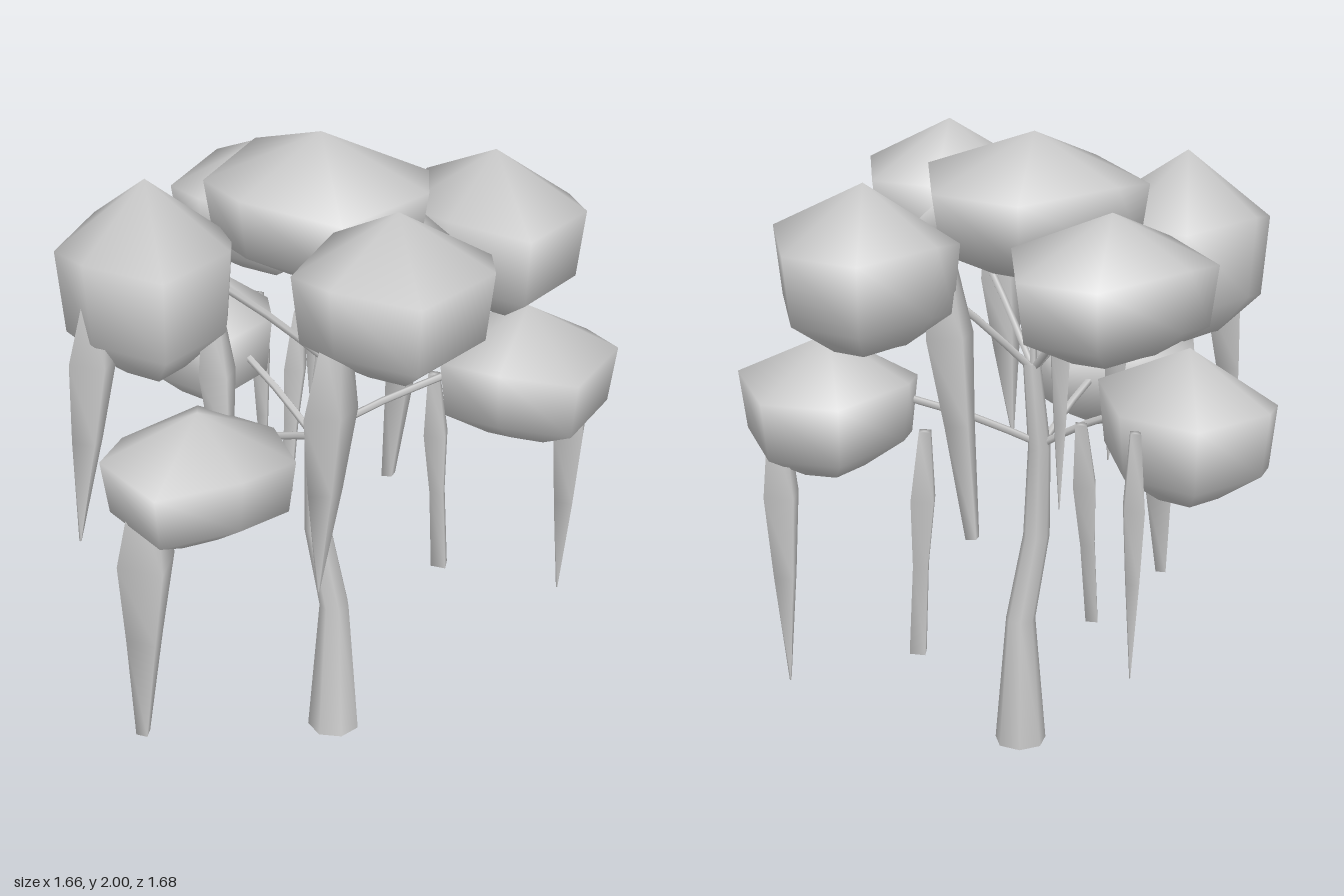
import * as THREE from 'three';

const material = new THREE.MeshStandardMaterial({ color: 0xcccccc, side: THREE.DoubleSide });

// Skin a stack of rings from top to bottom; a ring of one point closes to a tip.
function loft(rings) {
  const sides = Math.max(...rings.map(r => r.length));
  const start = [];
  let count = 0;
  for (const r of rings) { start.push(count); count += r.length; }
  const at = (k, i) => start[k] + (i % rings[k].length);
  const index = [];
  for (let k = 0; k < rings.length - 1; k++) {
    for (let i = 0; i < sides; i++) {
      const a = at(k, i), b = at(k, i + 1), c = at(k + 1, i + 1), d = at(k + 1, i);
      if (a !== b) index.push(a, b, d);
      if (c !== d) index.push(b, c, d);
    }
  }
  const g = new THREE.BufferGeometry();
  g.setAttribute('position', new THREE.Float32BufferAttribute(rings.flat(2), 3));
  g.setIndex(index);
  g.computeVertexNormals();
  return g;
}

// Elliptical ring whose corners alternate a little up and down
function ellipse(x, y, z, rx, rz, sides, phase = 0, wobble = 0) {
  return Array.from({ length: sides }, (_, i) => {
    const a = phase + (i / sides) * Math.PI * 2;
    return [x + Math.cos(a) * rx, y + (i % 2 ? wobble : -wobble), z + Math.sin(a) * rz];
  });
}

// Foliage clump: pointed dome, wide shoulder, slightly narrower lower ring, shallow bottom
function clumpGeometry(x, z, rx, rz, top, bottom, phase) {
  const ring = (level, scale, wobble) => ellipse(
    x, bottom + (top - bottom) * level, z, rx * scale, rz * scale, 7, phase, wobble);
  return loft([
    [[x, top, z]],
    ring(0.67, 1.02, 0.02),
    ring(0.25, 0.94, 0.02),
    ring(0.04, 0.42, 0.01),
    [[x, bottom, z]],
  ]);
}

// Hanging strand: four-sided spindle from the first point down to the second
function strandGeometry(x0, y0, z0, x1, y1, z1, rx, rz, tip) {
  const station = (t, scale) => ellipse(
    THREE.MathUtils.lerp(x0, x1, t), THREE.MathUtils.lerp(y0, y1, t),
    THREE.MathUtils.lerp(z0, z1, t), rx * scale, rz * scale, 4);
  return loft([
    [[x0, y0, z0]],
    station(0, 0.5), station(0.3, 1), station(0.6, 0.65), station(1, tip),
    [[x1, y1, z1]],
  ]);
}

// name: x, z, radius x, radius z, top, bottom, turn
const clumps = {
  crownClump: [-0.02, 0.02, 0.33, 0.35, 2.0, 1.58, 0.15],
  frontClump: [-0.115, 0.59, 0.285, 0.25, 1.96, 1.5, 0.05],
  rightClump: [-0.52, -0.1, 0.26, 0.26, 1.91, 1.32, 0.05],
  leftClump: [0.51, 0.13, 0.26, 0.3, 1.89, 1.4, 0.05],
  backClump: [0.06, -0.44, 0.31, 0.28, 1.84, 1.42, 0.1],
  lowBackClump: [-0.15, -0.54, 0.23, 0.3, 1.44, 0.99, 0.1],
  lowRightClump: [-0.55, 0.25, 0.28, 0.25, 1.34, 0.96, 0.64],
  lowLeftClump: [0.56, 0.26, 0.27, 0.27, 1.43, 1.01, -0.2],
};

// top x, y, z, tip x, y, z, half width x, half width z, tip share
const strands = [
  // under the upper clumps
  [-0.3, 1.66, 0.59, -0.34, 0.86, 0.56, 0.085, 0.05, 0.05],
  [-0.39, 1.55, 0.04, -0.39, 0.88, 0.11, 0.06, 0.06, 0.05],
  [-0.69, 1.66, -0.06, -0.8, 0.85, -0.05, 0.075, 0.08, 0.05],
  [0.1, 1.6, -0.26, 0.11, 0.93, -0.27, 0.03, 0.045, 0.05],
  [0.31, 1.7, 0.04, 0.255, 0.8, -0.03, 0.085, 0.065, 0.3],
  [0.1, 1.25, -0.6, 0.115, 0.51, -0.61, 0.035, 0.048, 0.05],
  [0.15, 1.24, -0.42, 0.08, 0.61, -0.39, 0.042, 0.05, 0.55],
  [0.14, 1.78, 0.22, 0.18, 1.54, 0.33, 0.12, 0.1, 0.1],
  // under the lower clumps
  [-0.72, 1.18, 0.27, -0.77, 0.35, 0.27, 0.09, 0.11, 0.25],
  [0.38, 1.15, 0.03, 0.42, 0.45, 0.03, 0.045, 0.055, 0.7],
  [0.74, 1.22, 0.27, 0.75, 0.37, 0.24, 0.06, 0.07, 0.05],
];

// Branches fork from the trunk top and from its middle, out to these end points
const forks = [
  { name: 'upperBranch', from: [0, 1.28, 0],
    ends: [[-0.01, 1.65, 0.02], [-0.1, 1.62, 0.45], [-0.36, 1.6, -0.08], [0.36, 1.62, 0.1], [0.04, 1.55, -0.32]] },
  { name: 'lowerBranch', from: [-0.04, 1.03, 0.01],
    ends: [[-0.12, 1.22, -0.35], [-0.42, 1.18, 0.18], [0.36, 1.22, 0.17]] },
];

// Bent, tapering trunk from top to bottom: x, y, z, radius
const trunk = [
  [0.005, 1.3, 0, 0.028], [-0.035, 1.02, 0.015, 0.036], [-0.043, 0.72, 0.04, 0.043],
  [0.005, 0.44, 0.06, 0.048], [-0.01, 0, 0.083, 0.084],
];

export function createModel() {
  const model = new THREE.Group();
  model.name = 'tree';
  const add = (name, geometry) => {
    const mesh = new THREE.Mesh(geometry, material);
    mesh.name = name;
    model.add(mesh);
  };

  const trunkRings = trunk.map(([x, y, z, r]) => ellipse(x, y, z, r, r, 7));
  add('trunk', loft([[trunk[0].slice(0, 3)], ...trunkRings]));
  add('trunkBase', loft([trunkRings.at(-1), [trunk.at(-1).slice(0, 3)]]));

  // Branches rise a little above the straight line to their clump
  for (const { name, from, ends } of forks) {
    ends.forEach((end, i) => {
      const a = new THREE.Vector3(...from), b = new THREE.Vector3(...end);
      const middle = a.clone().lerp(b, 0.45);
      middle.y += 0.012;
      const curve = new THREE.CatmullRomCurve3([a, middle, b]);
      add(`${name}${i + 1}`, new THREE.TubeGeometry(curve, 4, 0.012, 5));
    });
  }

  for (const [name, shape] of Object.entries(clumps)) add(name, clumpGeometry(...shape));
  strands.forEach((shape, i) => add(`hangingStrand${i + 1}`, strandGeometry(...shape)));
  return model;
}
